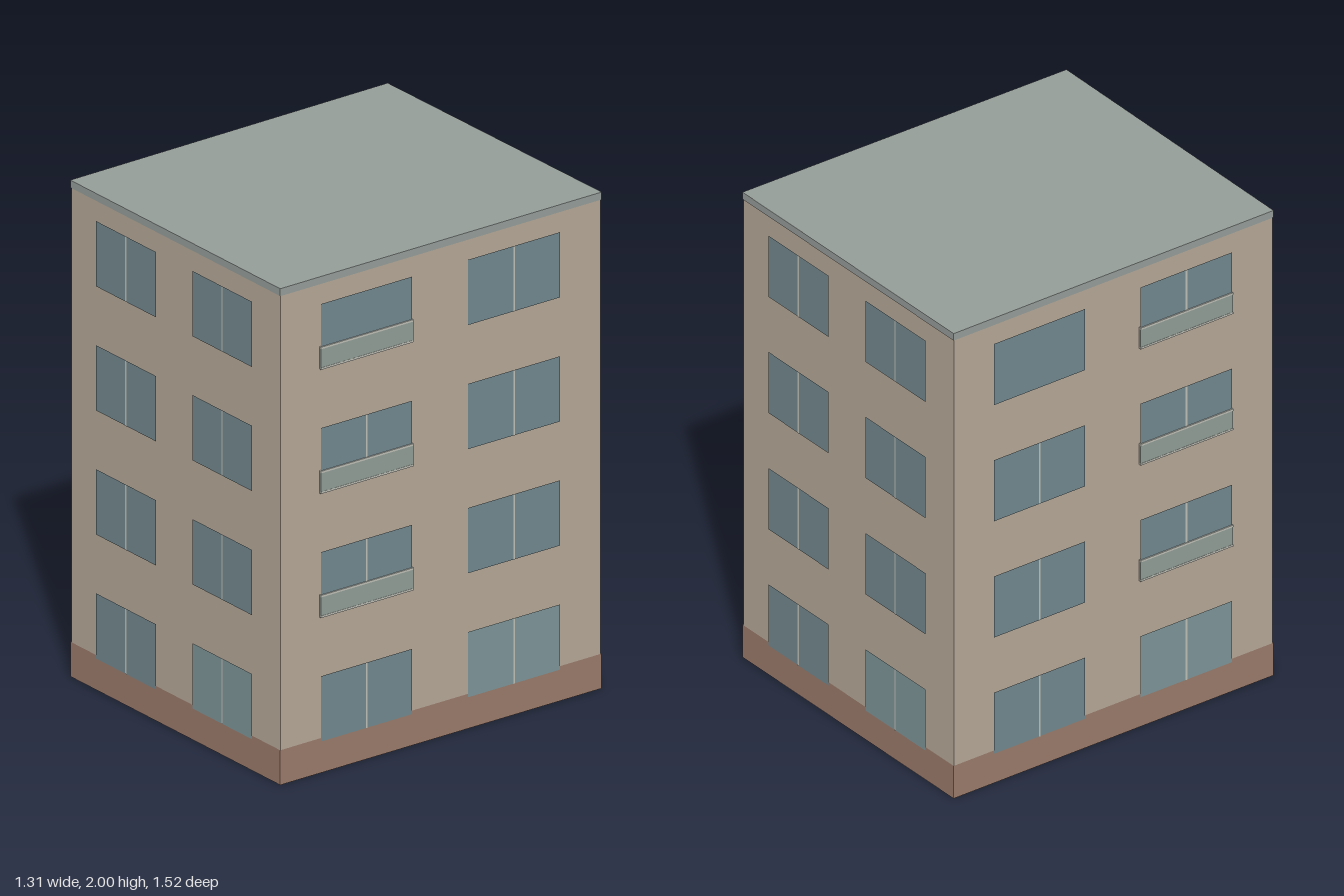
import * as THREE from 'three';

const paint = (color) => new THREE.MeshStandardMaterial({ color, side: THREE.DoubleSide });
const wallMat = paint(0xb8a999), plinthMat = paint(0x9c7b6c), roofMat = paint(0x969e9a);
const glassMat = paint(0x738990), paleGlassMat = paint(0x7f979a);
const trimMat = paint(0xc0c2b8), panelMat = paint(0x939f98);

// Slightly skewed footprint, as [x, z], running round the outside from the front left
const corners = [[-0.619, 0.755], [0.651, 0.729], [0.629, -0.757], [-0.653, -0.721]];
const bays = [[0.124, 0.409], [0.584, 0.87]]; // window spans as fractions of a wall
const floors = 4, floorHeight = 0.5;
const sillY = 0.127, headY = 0.39;

// Flat panel on a facade: x0..x1 along the wall, y0..y1 up, z outwards
function panel(parent, name, mat, x0, x1, y0, y1, z) {
  const mesh = new THREE.Mesh(new THREE.PlaneGeometry(x1 - x0, y1 - y0), mat);
  mesh.position.set((x0 + x1) / 2, (y0 + y1) / 2, z);
  mesh.name = name;
  parent.add(mesh);
}

// Shallow balcony guard: infill panel with a rail above and below
function balcony(parent, x0, x1, y) {
  const guard = new THREE.Group();
  guard.name = 'balcony';
  const bar = (name, mat, h, yc, depth) => {
    const mesh = new THREE.Mesh(new THREE.BoxGeometry(x1 - x0 + 0.006, h, depth), mat);
    mesh.position.set((x0 + x1) / 2, yc, depth / 2);
    mesh.name = name;
    guard.add(mesh);
  };
  bar('balconyPanel', panelMat, 0.09, y + 0.045, 0.009);
  bar('topRail', trimMat, 0.008, y + 0.087, 0.01);
  bar('bottomRail', trimMat, 0.008, y + 0.004, 0.01);
  parent.add(guard);
}

// One wall with its plinth, cornice, windows and optional column of balconies
function facade(name, start, end, isSide, balconyBay) {
  const g = new THREE.Group();
  g.name = name;
  const dx = end[0] - start[0], dz = end[1] - start[1];
  const length = Math.hypot(dx, dz);
  g.position.set(start[0], 0, start[1]);
  g.rotation.y = Math.atan2(-dz, dx);

  panel(g, 'wall', wallMat, 0, length, 0, 2, 0);
  panel(g, 'plinth', plinthMat, -0.003, length + 0.003, 0, 0.14, 0.003);
  panel(g, 'cornice', roofMat, -0.003, length + 0.003, 1.97, 2, 0.003);

  for (let floor = 0; floor < floors; floor++) {
    const y = floor * floorHeight;
    bays.forEach(([a, b], bay) => {
      const x0 = a * length, x1 = b * length, mid = (x0 + x1) / 2;
      const pale = floor === 0 && bay === 1;
      panel(g, 'window', pale ? paleGlassMat : glassMat, x0, x1, y + sillY, y + headY, 0.005);
      const plain = isSide && floor === floors - 1 && bay === 0;
      if (!plain) panel(g, 'mullion', trimMat, mid - 0.004, mid + 0.004, y + sillY, y + headY, 0.0065);
      if (bay === balconyBay && floor > 0) balcony(g, x0, x1, y + sillY);
    });
  }
  return g;
}

export function createModel() {
  const building = new THREE.Group();
  building.name = 'apartmentBlock';

  // Four walls; the base is left open
  const walls = [
    ['frontFacade', false, -1], ['rightFacade', true, 0],
    ['backFacade', false, -1], ['leftFacade', true, 1],
  ];
  walls.forEach(([name, isSide, bay], i) => {
    building.add(facade(name, corners[i], corners[(i + 1) % 4], isSide, bay));
  });

  // Flat roof over the cornice line
  const outline = corners.map(([x, z]) =>
    new THREE.Vector2(x + 0.003 * Math.sign(x), -z - 0.003 * Math.sign(z)));
  const roof = new THREE.Mesh(new THREE.ShapeGeometry(new THREE.Shape(outline)), roofMat);
  roof.rotation.x = -Math.PI / 2;
  roof.position.y = 2;
  roof.name = 'roof';
  building.add(roof);
  return building;
}
